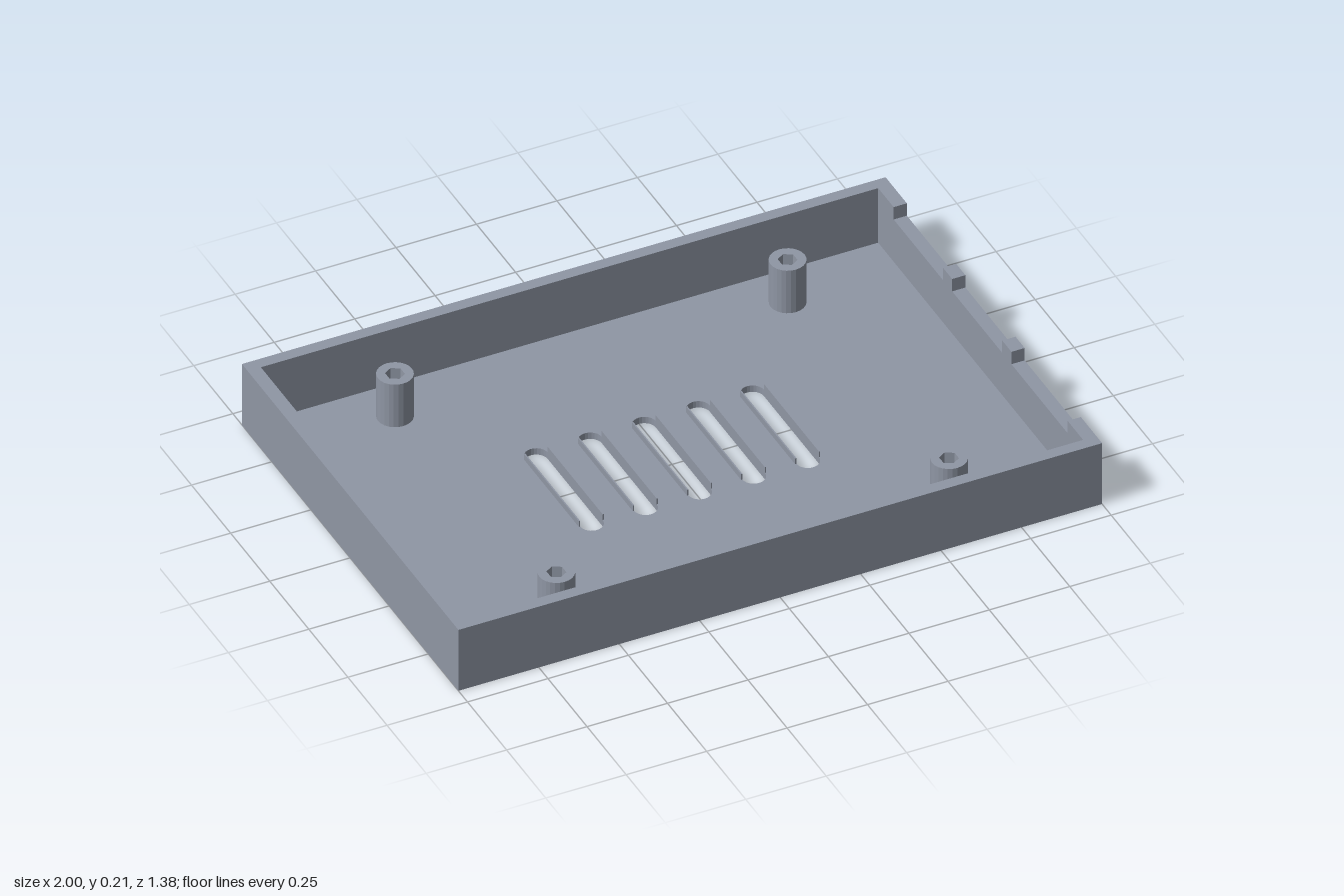
import * as THREE from 'three';

const HALF_X = 1, HALF_Z = 0.692, INNER_X = 0.959, INNER_Z = 0.655;
const FLOOR_Y = 0.022, FIN_Y = 0.042, LEDGE_Y = 0.169, TOP_Y = 0.212;
const SLOT_PITCH = 0.168, SLOT_R = 0.035, SLOT_STRAIGHT = 0.176;

const plastic = new THREE.MeshStandardMaterial({ color: 0x8f96a4 });
plastic.name = 'greyPlastic';

// Outlines are given as [x, z] pairs
const toPoints = (pairs) => pairs.map(([x, z]) => new THREE.Vector2(x, -z));

const box = (x0, x1, z0, z1) => toPoints([[x0, z1], [x1, z1], [x1, z0], [x0, z0]]);
const rect = (hx, hz) => box(-hx, hx, -hz, hz);

// Regular polygon with a corner towards +z
const polygon = (cx, cz, r, sides) => toPoints(Array.from({ length: sides }, (_, i) => {
  const a = (i / sides) * Math.PI * 2;
  return [cx + r * Math.sin(a), cz + r * Math.cos(a)];
}));

// Round-ended slot along z
function slotOutline(cx) {
  const pairs = [], steps = 12;
  for (const end of [1, -1]) {
    for (let i = 0; i <= steps; i++) {
      const a = (i / steps) * Math.PI;
      pairs.push([cx + end * SLOT_R * Math.cos(a), end * (SLOT_STRAIGHT + SLOT_R * Math.sin(a))]);
    }
  }
  return toPoints(pairs);
}

// Extrude a plan outline upwards from y0 to y1
function slab(name, outline, holes, y0, y1) {
  const shape = new THREE.Shape(outline);
  for (const h of holes) shape.holes.push(new THREE.Path(h));
  const geo = new THREE.ExtrudeGeometry(shape, { depth: y1 - y0, bevelEnabled: false });
  geo.rotateX(-Math.PI / 2).translate(0, y0, 0);
  const mesh = new THREE.Mesh(geo, plastic);
  mesh.name = name;
  return mesh;
}

export function createModel() {
  const model = new THREE.Group();
  model.name = 'enclosureTray';

  // Thin floor with five vent slots
  const slotXs = [-2, -1, 0, 1, 2].map((i) => i * SLOT_PITCH);
  model.add(slab('floor', rect(HALF_X, HALF_Z), slotXs.map(slotOutline), 0, FLOOR_Y));

  // Thin upright fins along both straight sides of each slot
  for (const x of slotXs) {
    for (const side of [-1, 1]) {
      const fx = x + side * (SLOT_R + 0.002);
      model.add(slab('ventFin', box(fx - 0.002, fx + 0.002, -SLOT_STRAIGHT, SLOT_STRAIGHT),
        [], FLOOR_Y, FIN_Y));
    }
  }

  // Wall ring up to the bottom of the connector notches
  model.add(slab('walls', rect(HALF_X, HALF_Z), [rect(INNER_X, INNER_Z)], FLOOR_Y, LEDGE_Y));

  // Upper rim, open along the notched +x side
  const n = 0.556;
  model.add(slab('upperRim', toPoints([
    [HALF_X, n], [HALF_X, HALF_Z], [-HALF_X, HALF_Z], [-HALF_X, -HALF_Z],
    [HALF_X, -HALF_Z], [HALF_X, -n], [INNER_X, -n], [INNER_X, -INNER_Z],
    [-INNER_X, -INNER_Z], [-INNER_X, INNER_Z], [INNER_X, INNER_Z], [INNER_X, n],
  ]), [], LEDGE_Y, TOP_Y));

  // Tabs between the three notches
  for (const [z0, z1] of [[-0.241, -0.182], [0.138, 0.197]]) {
    model.add(slab('notchTab', box(INNER_X, HALF_X, z0, z1), [], LEDGE_Y, TOP_Y));
  }

  // Screw bosses with hexagonal bores
  for (const x of [-0.61, 0.61]) {
    for (const z of [-0.516, 0.516]) {
      model.add(slab('screwBoss', polygon(x, z, 0.053, 24), [polygon(x, z, 0.028, 6)],
        FLOOR_Y, 0.17));
    }
  }
  return model;
}
